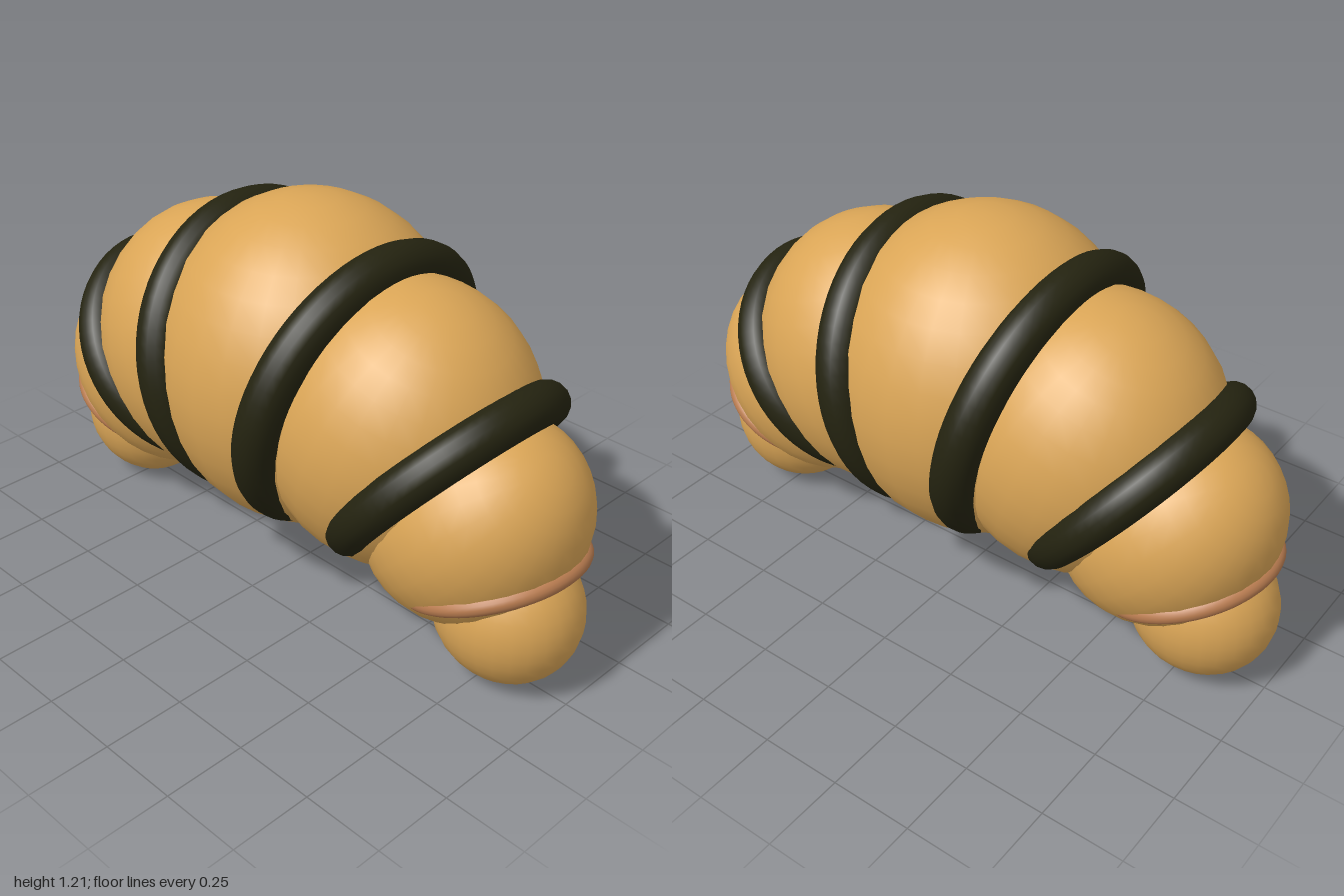
import * as THREE from 'three';

export function createModel() {
  const model = new THREE.Group();
  const crust = new THREE.MeshStandardMaterial({ color: 0xdaa556 });
  crust.name = 'golden crust';
  const chocolate = new THREE.MeshStandardMaterial({ color: 0x242310 });
  chocolate.name = 'dark chocolate';
  const toasted = new THREE.MeshStandardMaterial({ color: 0xb97c50 });
  toasted.name = 'toasted fold';

  const ball = new THREE.SphereGeometry(1, 28, 18);

  // Places a part at (x, y), leaning outward from vertical by lean degrees
  function place(mesh, name, x, y, lean) {
    mesh.name = name;
    mesh.position.set(x, y, 0);
    mesh.rotation.z = -THREE.MathUtils.degToRad(lean);
    model.add(mesh);
  }

  // Plump dough segment with its three radii
  function lobe(name, x, y, lean, rx, ry, rz) {
    const mesh = new THREE.Mesh(ball, crust);
    mesh.scale.set(rx, ry, rz);
    place(mesh, name, x, y, lean);
  }

  // Ring wrapped around the roll, partly sunk into the dough
  function ring(name, material, x, y, lean, radius, tube) {
    const geometry = new THREE.TorusGeometry(radius, tube, 16, 64).rotateY(Math.PI / 2);
    place(new THREE.Mesh(geometry, material), name, x, y, lean);
  }

  lobe('middleLobe', 0, 0.705, 0, 0.46, 0.505, 0.455);

  // Mirrored halves
  for (const [side, s] of [['left', 1], ['right', -1]]) {
    lobe(side + 'InnerLobe', s * 0.365, 0.64, s * 20, 0.405, 0.435, 0.39);
    lobe(side + 'OuterLobe', s * 0.65, 0.457, s * 45, 0.30, 0.352, 0.31);
    lobe(side + 'Tip', s * 0.778, 0.223, 0, 0.222, 0.222, 0.203);
    ring(side + 'InnerStripe', chocolate, s * 0.2, 0.69, s * 13, 0.40, 0.065);
    ring(side + 'OuterStripe', chocolate, s * 0.54, 0.557, s * 40, 0.328, 0.063);
    ring(side + 'TipFold', toasted, s * 0.727, 0.318, s * 68, 0.247, 0.026);
  }
  return model;
}
